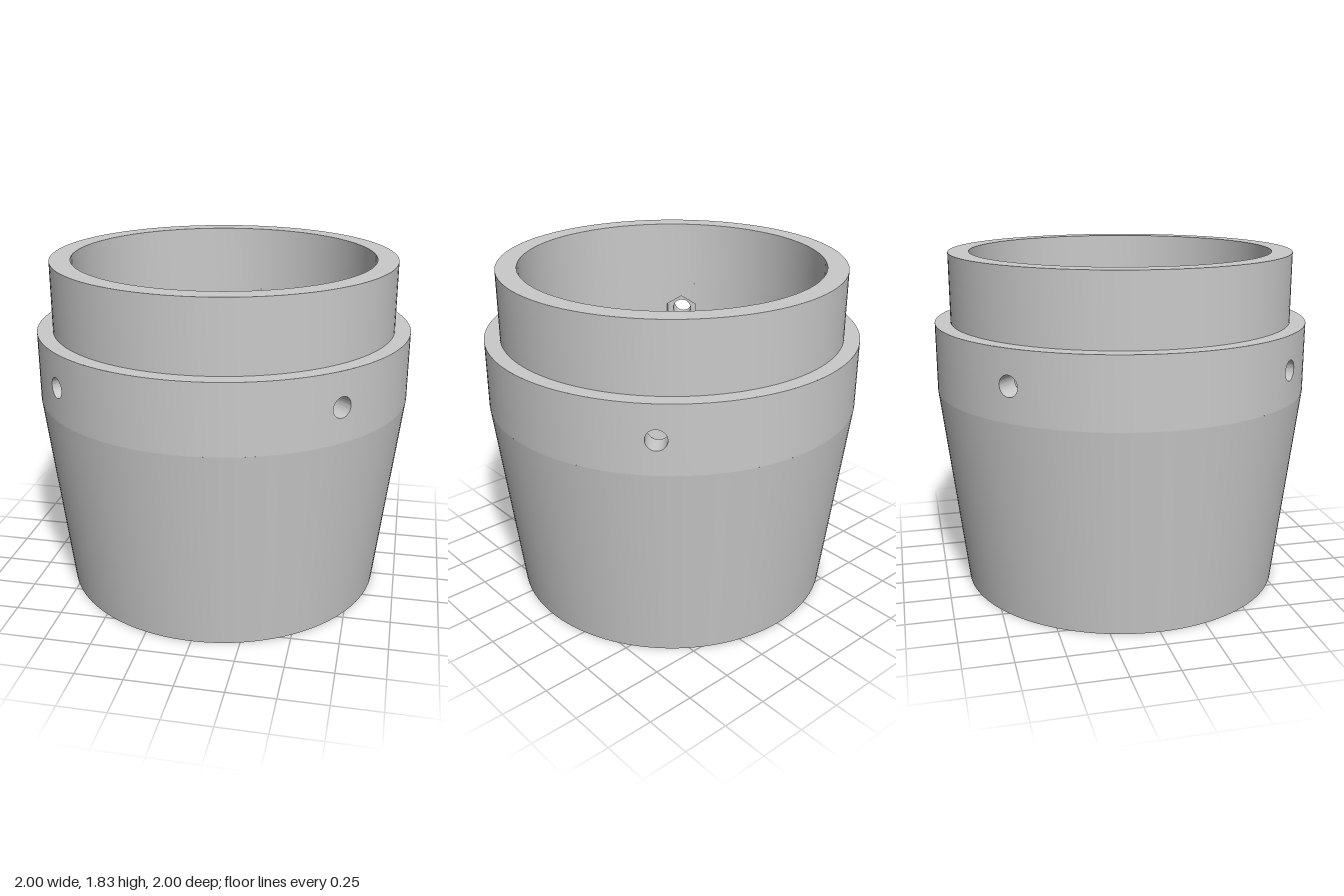
import * as THREE from 'three';
import { mergeGeometries, toCreasedNormals } from 'three/addons/utils/BufferGeometryUtils.js';

const R_OUT = 1, R_IN = 0.807;             // collar and bore radii
const Y0 = 1.093, Y1 = 1.458, TOP = 1.826; // collar bottom, collar top, spigot top
const YC = (Y0 + Y1) / 2, HALF = (Y1 - Y0) / 2;
const HOLE_R = 0.054, HEX_APOTHEM = 0.088, POCKET_FLOOR = 0.88;
const N = 48;

const lathe = (pts, seg, start = 0, length = Math.PI * 2) =>
  new THREE.LatheGeometry(pts.map(([x, y]) => new THREE.Vector2(x, y)), seg, start, length);

// Outlines as distance from the hole axis at angle t
const circle = () => HOLE_R;
const square = t => HALF / Math.max(Math.abs(Math.cos(t)), Math.abs(Math.sin(t)));
const hexagon = t => {
  const step = Math.PI / 3;
  return HEX_APOTHEM / Math.cos(((t + step / 2) % step) - step / 2);
};

// One ring of points; depth gives local z from the sideways offset
function ring(outline, depth) {
  return Array.from({ length: N }, (_, i) => {
    const t = i / N * Math.PI * 2, d = outline(t);
    const s = d * Math.cos(t);
    return [s, YC + d * Math.sin(t), depth(s)];
  });
}

const onCylinder = r => s => Math.sqrt(r * r - s * s);
const onFloor = () => POCKET_FLOOR;
const mix = (a, b, k) => t => a(t) + (b(t) - a(t)) * k;

// Wall patch with a screw hole outside and a hexagonal nut pocket inside
function holePatch() {
  const rings = [], steps = 5;
  for (let i = 0; i <= steps; i++) rings.push(ring(mix(square, hexagon, i / steps), onCylinder(R_IN)));
  rings.push(ring(hexagon, onFloor), ring(circle, onFloor));
  for (let i = 0; i <= steps; i++) rings.push(ring(mix(circle, square, i / steps), onCylinder(R_OUT)));
  const index = [];
  for (let j = 0; j < rings.length - 1; j++) {
    for (let i = 0; i < N; i++) {
      const a = j * N + i, b = j * N + (i + 1) % N;
      index.push(a, a + N, b + N, a, b + N, b);
    }
  }
  const g = new THREE.BufferGeometry();
  g.setAttribute('position', new THREE.Float32BufferAttribute(rings.flat(2), 3));
  g.setIndex(index);
  return g;
}

// Collar ring: four hole patches joined by plain arcs
function collarGeometry() {
  const parts = [];
  const arc = (r, ys, mid) => {
    const a = Math.asin(HALF / r);
    parts.push(lathe(ys.map(y => [r, y]), 30, mid + a, Math.PI / 2 - 2 * a));
  };
  for (let k = 0; k < 4; k++) {
    const mid = Math.PI / 4 + k * Math.PI / 2;
    parts.push(holePatch().rotateY(mid));
    arc(R_OUT, [Y0, Y1], mid);
    arc(R_IN, [Y1, Y0], mid);
  }
  return mergeGeometries(parts.map(p => {
    p.deleteAttribute('uv');
    p.deleteAttribute('normal');
    return p.toNonIndexed();
  }));
}

export function createModel() {
  const group = new THREE.Group();
  group.name = 'pipeAdapter';
  const grey = new THREE.MeshStandardMaterial({ color: 0xcacaca });
  grey.name = 'grey plastic';

  const add = (name, geometry) => {
    const mesh = new THREE.Mesh(toCreasedNormals(geometry, 0.5), grey);
    mesh.name = name;
    group.add(mesh);
  };

  // Thin tapered skirt, hollow with an even wall, under the collar's flat underside
  add('taperedSkirt', lathe([[R_IN, Y0], [0.957, Y0], [0.83, 0], [0.873, 0], [R_OUT, Y0]], 128));
  // Collar with screw holes and nut pockets
  add('collar', collarGeometry());
  // Spigot and the shoulder around it
  add('spigot', lathe([[R_OUT, Y1], [0.917, Y1], [0.917, TOP], [R_IN, TOP], [R_IN, Y1]], 128));

  return group;
}
